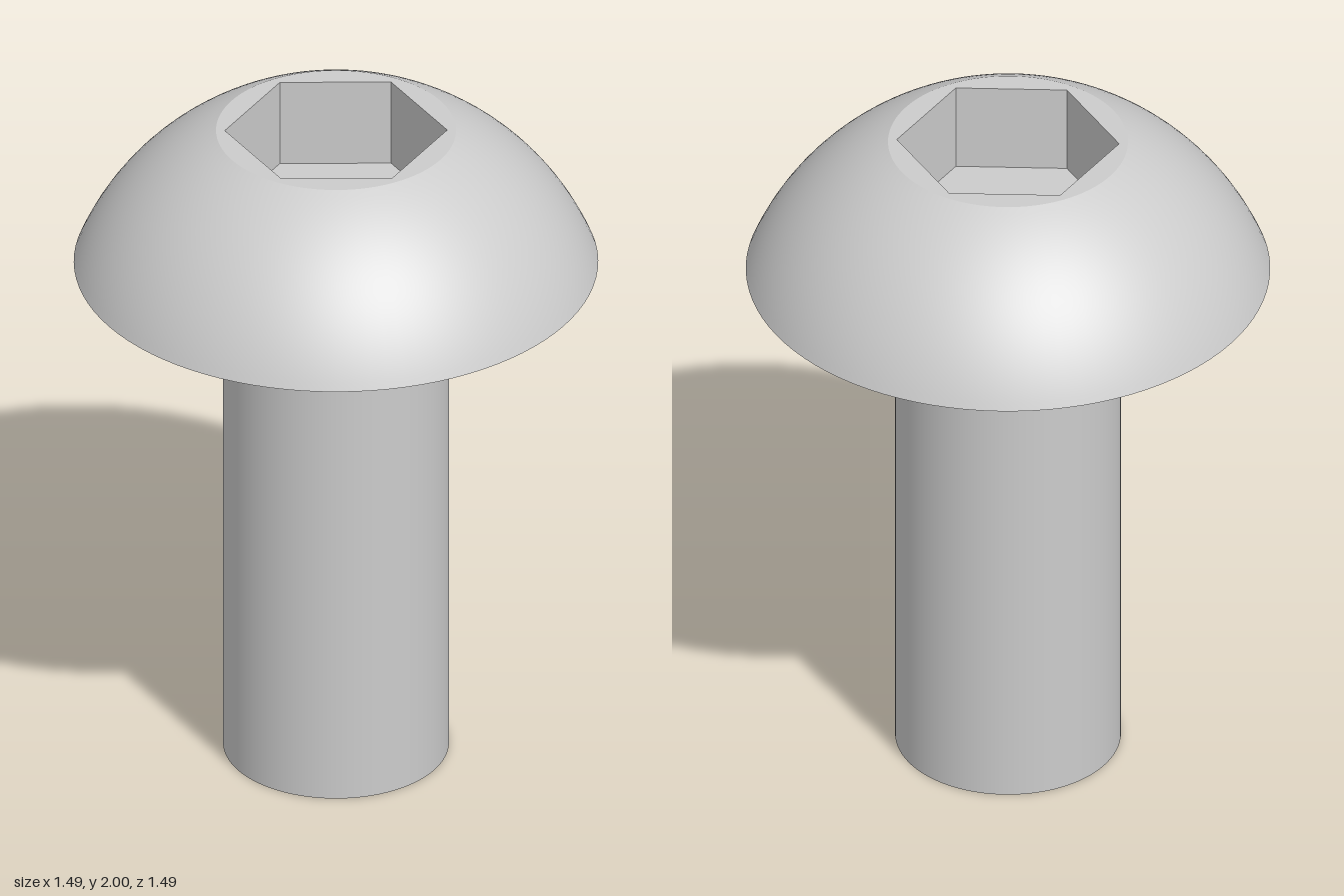
import * as THREE from 'three';

const SEG = 96;
const SHANK_R = 0.32, HEAD_R = 0.743, HEAD_Y = 1.572, TOP_Y = 2;
const RIM_R = 0.34, HEX_R = 0.315, SOCKET_DEPTH = 0.265;

export function createModel() {
  const model = new THREE.Group();
  const material = new THREE.MeshStandardMaterial({ color: 0xcccccc });
  const add = (parent, name, geometry, y = 0) => {
    const mesh = new THREE.Mesh(geometry, material);
    mesh.name = name;
    mesh.position.y = y;
    parent.add(mesh);
  };

  // Plain round shank with a flat end
  add(model, 'shank', new THREE.CylinderGeometry(SHANK_R, SHANK_R, HEAD_Y, SEG), HEAD_Y / 2);

  const head = new THREE.Group();
  head.name = 'head';
  model.add(head);

  // Dome: arc centred on the axis, from the wide base to the flat top
  const h = TOP_Y - HEAD_Y;
  const centre = (RIM_R ** 2 + h ** 2 - HEAD_R ** 2) / (2 * h);
  const radius = Math.hypot(HEAD_R, centre);
  const a0 = Math.atan2(-centre, HEAD_R), a1 = Math.atan2(h - centre, RIM_R);
  const profile = [];
  for (let i = 0; i <= 24; i++) {
    const a = a0 + (a1 - a0) * i / 24;
    profile.push(new THREE.Vector2(radius * Math.cos(a), centre + radius * Math.sin(a)));
  }
  add(head, 'dome', new THREE.LatheGeometry(profile, SEG), HEAD_Y);

  // Flat bearing face under the head
  add(head, 'underside', new THREE.RingGeometry(SHANK_R, HEAD_R, SEG).rotateX(Math.PI / 2), HEAD_Y);

  // Flat top with the hexagonal opening
  const top = new THREE.Shape().absarc(0, 0, RIM_R, 0, Math.PI * 2);
  const corners = [];
  for (let i = 0; i < 6; i++) {
    const a = -i * Math.PI / 3;
    corners.push(new THREE.Vector2(HEX_R * Math.cos(a), HEX_R * Math.sin(a)));
  }
  top.holes.push(new THREE.Path(corners));
  add(head, 'topFace', new THREE.ShapeGeometry(top, SEG / 2).rotateX(-Math.PI / 2), TOP_Y);

  // Hex socket: walls mirrored so that they face inward, and a flat floor
  const walls = new THREE.CylinderGeometry(HEX_R, HEX_R, SOCKET_DEPTH, 6, 1, true)
    .rotateY(Math.PI / 2).scale(-1, 1, 1).toNonIndexed();
  walls.computeVertexNormals();
  add(head, 'socketWalls', walls, TOP_Y - SOCKET_DEPTH / 2);
  add(head, 'socketFloor', new THREE.CircleGeometry(HEX_R, 6).rotateX(-Math.PI / 2), TOP_Y - SOCKET_DEPTH);

  return model;
}
